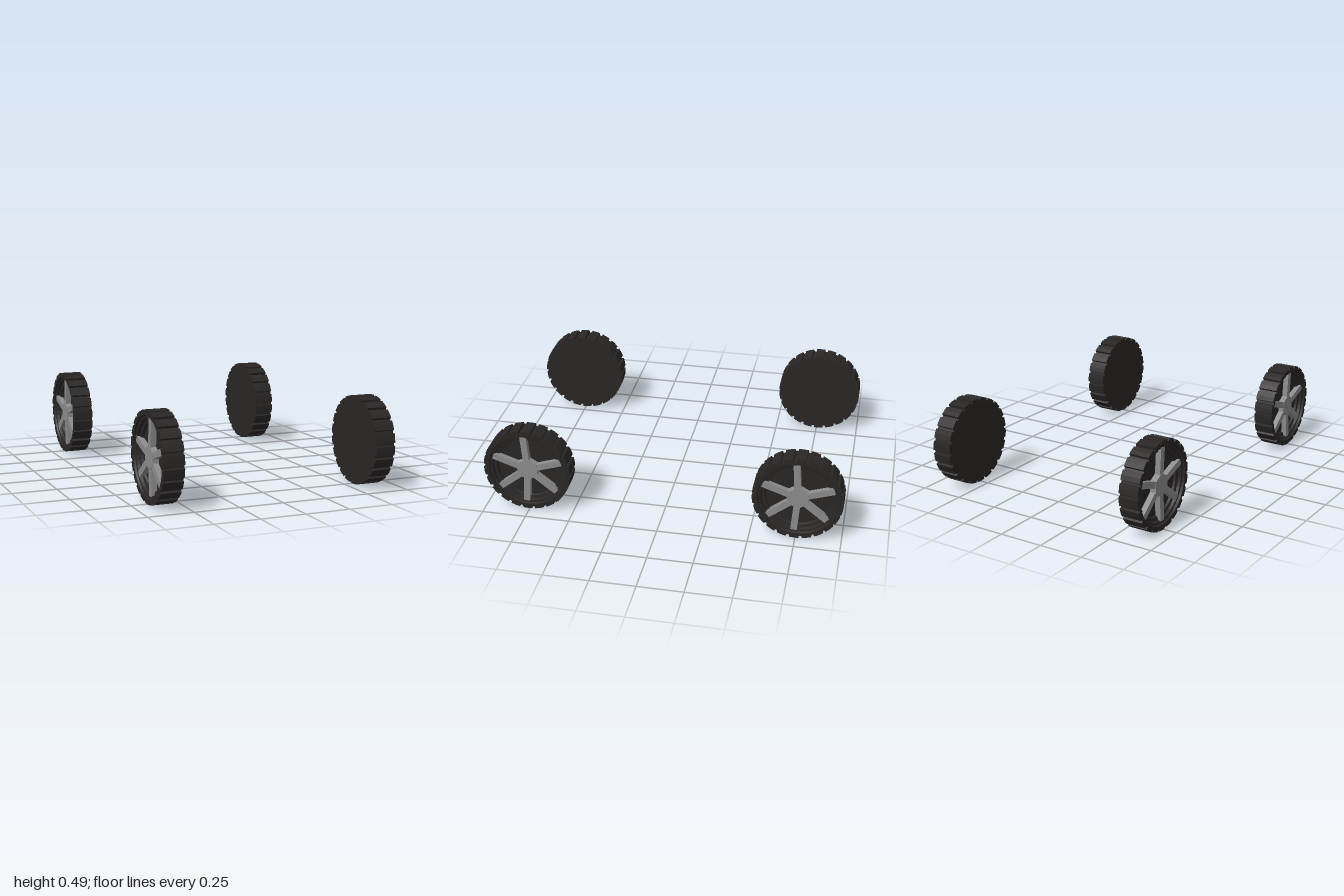
import * as THREE from 'three';

const R = 0.247, WIDTH = 0.114, LUGS = 22;
const rubber = new THREE.MeshStandardMaterial({ color: 0x2a2626, flatShading: true, side: THREE.DoubleSide });
const metal = new THREE.MeshStandardMaterial({ color: 0x8c8c8c, flatShading: true });

// Toothed outline of the tread
function treadShape() {
  const shape = new THREE.Shape();
  const pitch = (Math.PI * 2) / LUGS;
  const steps = [[0, R], [0.36, R], [0.72, R], [0.76, R - 0.014], [0.96, R - 0.014]];
  for (let i = 0; i < LUGS; i++) {
    steps.forEach(([t, r], k) => {
      const a = (i + t) * pitch;
      const x = r * Math.cos(a), y = r * Math.sin(a);
      if (i === 0 && k === 0) shape.moveTo(x, y);
      else shape.lineTo(x, y);
    });
  }
  shape.closePath();
  return shape;
}

function add(group, name, geometry, material) {
  const mesh = new THREE.Mesh(geometry, material);
  mesh.name = name;
  group.add(mesh);
  return mesh;
}

// One wheel with its outer face towards local +z, centred on its width
function makeWheel(name, mirror) {
  const wheel = new THREE.Group();
  wheel.name = name;
  const z0 = -WIDTH / 2;

  // Tyre: toothed ring, open in the middle for the rim
  const ring = treadShape();
  ring.holes.push(new THREE.Path().absarc(0, 0, 0.218, 0, Math.PI * 2, true));
  const tyre = add(wheel, 'tyre', new THREE.ExtrudeGeometry(ring, { depth: WIDTH, bevelEnabled: false, curveSegments: 24 }), rubber);
  tyre.position.z = z0;

  // Closed inner face
  const back = add(wheel, 'innerFace', new THREE.CircleGeometry(0.22, 48), rubber);
  back.position.z = z0;
  back.rotation.y = Math.PI;

  // Stepped dish behind the spokes
  const profile = [[0, 0.07], [0.175, 0.07], [0.18, 0.082], [0.197, 0.085], [0.202, 0.1], [0.214, 0.102], [0.219, WIDTH]]
    .map(([r, h]) => new THREE.Vector2(r, h));
  const dish = add(wheel, 'rimDish', new THREE.LatheGeometry(profile, 48), rubber);
  dish.rotation.x = Math.PI / 2;
  dish.position.z = z0;

  // Six-sided hub
  const hub = add(wheel, 'hub', new THREE.CylinderGeometry(0.066, 0.07, 0.034, 6), metal);
  hub.rotation.x = Math.PI / 2;
  hub.position.z = z0 + 0.086;

  // Six spokes
  for (const degrees of [94, 161, 218, 266, 322, 18]) {
    const angle = THREE.MathUtils.degToRad(mirror ? 180 - degrees : degrees);
    const spokeGeometry = new THREE.BoxGeometry(0.17, 0.036, 0.032);
    spokeGeometry.translate(0.12, 0, z0 + 0.085);
    add(wheel, 'spoke', spokeGeometry, metal).rotation.z = angle;
  }
  return wheel;
}

export function createModel() {
  const model = new THREE.Group();
  model.name = 'wheelSet';
  // Four wheels, spokes facing outwards
  const places = [
    ['frontLeftWheel', 0.609, 0.753],
    ['frontRightWheel', -0.605, 0.753],
    ['rearLeftWheel', 0.609, -0.753],
    ['rearRightWheel', -0.614, -0.753],
  ];
  for (const [name, x, z] of places) {
    const wheel = makeWheel(name, x < 0);
    wheel.position.set(x, 0.248, z);
    wheel.rotation.y = Math.sign(x) * Math.PI / 2;
    model.add(wheel);
  }
  return model;
}
